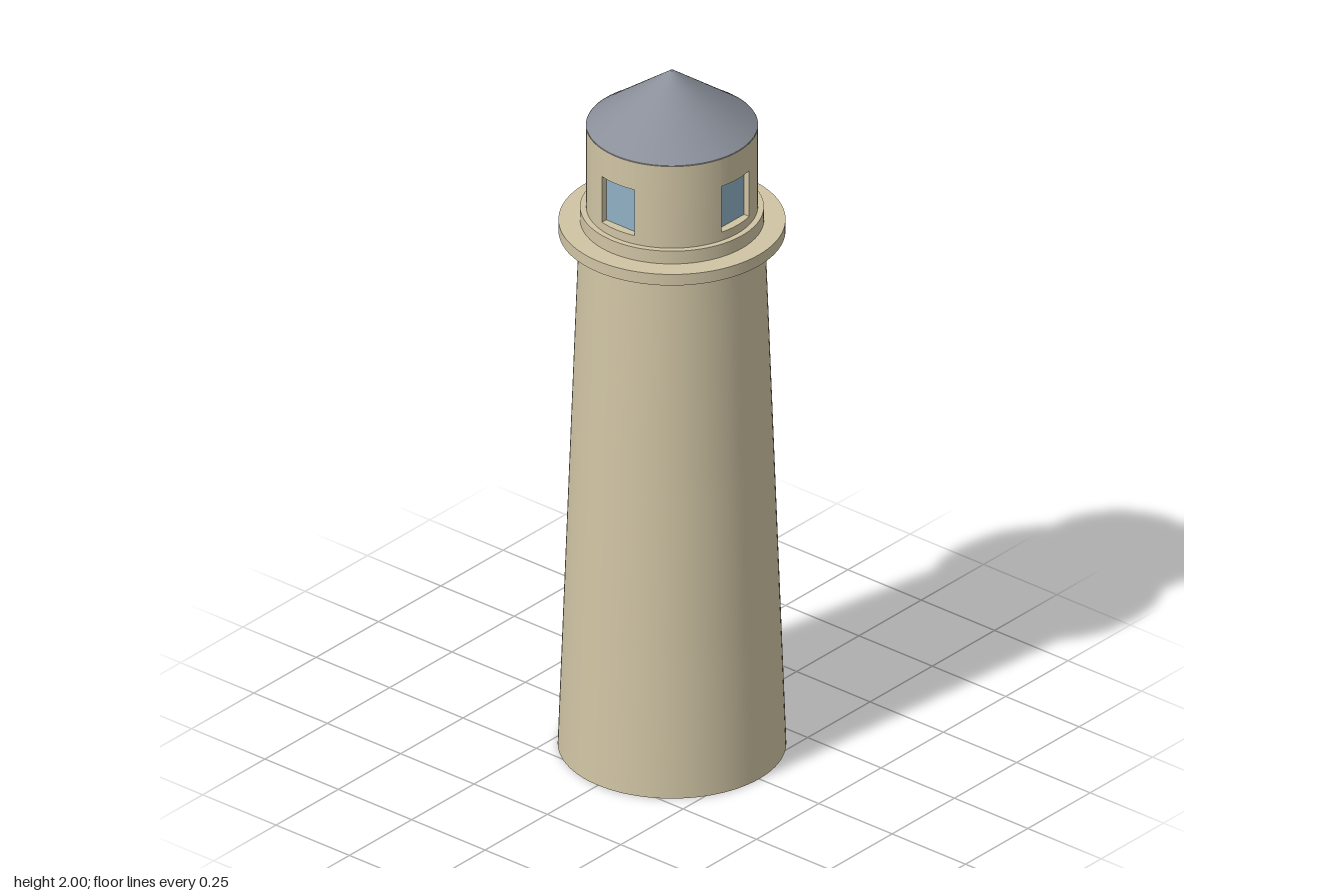
import * as THREE from 'three';
import { mergeVertices } from 'three/addons/utils/BufferGeometryUtils.js';

const stone = new THREE.MeshStandardMaterial({ color: 0xd0c4a4, side: THREE.DoubleSide });
const slate = new THREE.MeshStandardMaterial({ color: 0x8a8f9a });
const glass = new THREE.MeshStandardMaterial({ color: 0x8fb0c4, side: THREE.DoubleSide });
const wood = new THREE.MeshStandardMaterial({ color: 0x5e3d2b, side: THREE.DoubleSide });
const SEGMENTS = 96;

function add(parent, name, geometry, material, y = 0) {
  const mesh = new THREE.Mesh(geometry, material);
  mesh.name = name;
  mesh.position.y = y;
  parent.add(mesh);
  return mesh;
}

function geometryFrom(points) {
  const g = new THREE.BufferGeometry();
  g.setAttribute('position', new THREE.Float32BufferAttribute(points.flat(), 3));
  return g;
}

const sorted = (list) => list.sort((a, b) => a - b).filter((v, i, a) => i === 0 || v - a[i - 1] > 1e-5);

// Round tapered wall with rectangular recesses.
// An opening is { angle, halfWidth, y0, y1, depth }, depth being the distance of its back from the axis.
function roundWall(parent, name, radiusAt, bottom, top, openings) {
  const angles = [], levels = [bottom, top];
  for (let i = 0; i <= SEGMENTS; i++) angles.push((i / SEGMENTS - 0.125) * Math.PI * 2);
  for (const o of openings) {
    o.half = Math.asin(o.halfWidth / radiusAt((o.y0 + o.y1) / 2));
    angles.push(o.angle - o.half, o.angle + o.half);
    levels.push(o.y0, o.y1);
  }
  sorted(angles);
  const ts = sorted(angles), ys = sorted(levels);
  const outer = (t, y) => [radiusAt(y) * Math.sin(t), y, radiusAt(y) * Math.cos(t)];
  const skin = [], reveal = [];
  const quad = (list, a, b, c, d) => list.push(a, b, c, a, c, d);

  for (let i = 0; i < ts.length - 1; i++) {
    for (let j = 0; j < ys.length - 1; j++) {
      const [t0, t1, y0, y1] = [ts[i], ts[i + 1], ys[j], ys[j + 1]];
      const tm = (t0 + t1) / 2, ym = (y0 + y1) / 2;
      const o = openings.find((p) => Math.abs(tm - p.angle) < p.half && ym > p.y0 && ym < p.y1);
      if (!o) {
        quad(skin, outer(t0, y0), outer(t1, y0), outer(t1, y1), outer(t0, y1));
        continue;
      }
      // flat back of the recess, then its sill, lintel and jambs
      const inner = (t, y) => {
        const u = radiusAt(y) * Math.sin(t - o.angle), s = Math.sin(o.angle), c = Math.cos(o.angle);
        return [u * c + o.depth * s, y, o.depth * c - u * s];
      };
      quad(reveal, inner(t0, y0), inner(t1, y0), inner(t1, y1), inner(t0, y1));
      const near = (a, b) => Math.abs(a - b) < 1e-4;
      if (near(y0, o.y0)) quad(reveal, outer(t0, y0), outer(t1, y0), inner(t1, y0), inner(t0, y0));
      if (near(y1, o.y1)) quad(reveal, inner(t0, y1), inner(t1, y1), outer(t1, y1), outer(t0, y1));
      if (near(t0, o.angle - o.half)) quad(reveal, outer(t0, y0), inner(t0, y0), inner(t0, y1), outer(t0, y1));
      if (near(t1, o.angle + o.half)) quad(reveal, inner(t1, y0), outer(t1, y0), outer(t1, y1), inner(t1, y1));
    }
  }
  const wall = mergeVertices(geometryFrom(skin), 1e-5);
  wall.computeVertexNormals();
  add(parent, name, wall, stone);
  const recess = geometryFrom(reveal);
  recess.computeVertexNormals();
  add(parent, name + 'Recesses', recess, stone);
}

// Flat panel facing outward at a given distance from the axis
function panel(parent, name, o, distance, material) {
  const mesh = add(parent, name, new THREE.PlaneGeometry(o.halfWidth * 2, o.y1 - o.y0), material);
  mesh.position.set(Math.sin(o.angle) * distance, (o.y0 + o.y1) / 2, Math.cos(o.angle) * distance);
  mesh.rotation.y = o.angle;
}

function disc(parent, name, radius, y, up) {
  const mesh = add(parent, name, new THREE.CircleGeometry(radius, SEGMENTS), stone, y);
  mesh.rotation.x = up ? -Math.PI / 2 : Math.PI / 2;
}

export function createModel() {
  const model = new THREE.Group();
  model.name = 'lighthouse';

  // Tapered tower with a door and three windows up the back
  const tower = new THREE.Group();
  tower.name = 'tower';
  model.add(tower);
  const back = { angle: Math.PI, halfWidth: 0.034, depth: 0.2 };
  const door = { ...back, y0: 0.01, y1: 0.16 };
  const windows = [0.398, 0.907, 1.416].map((y) => ({ ...back, y0: y - 0.043, y1: y + 0.043 }));
  roundWall(tower, 'towerWall', (y) => 0.297 - 0.0362 * y, 0, 1.525, [door, ...windows]);
  disc(tower, 'towerBase', 0.297, 0, false);
  panel(tower, 'door', door, 0.285, wood);
  windows.forEach((w) => panel(tower, 'towerWindow', w, 0.285, glass));

  // Gallery and the kerb above it
  add(model, 'gallery', new THREE.CylinderGeometry(0.295, 0.295, 0.033, SEGMENTS), stone, 1.5405);
  add(model, 'galleryKerb', new THREE.CylinderGeometry(0.239, 0.239, 0.038, SEGMENTS), stone, 1.576);

  // Lantern room with four recessed windows
  const lantern = new THREE.Group();
  lantern.name = 'lanternRoom';
  model.add(lantern);
  const panes = [0, 1, 2, 3].map((i) => ({
    angle: i * Math.PI / 2, halfWidth: 0.055, y0: 1.62, y1: 1.756, depth: 0.197,
  }));
  roundWall(lantern, 'lanternWall', () => 0.223, 1.595, 1.84, panes);
  panes.forEach((p) => panel(lantern, 'lanternWindow', p, 0.199, glass));

  // Conical roof
  add(model, 'roof', new THREE.CylinderGeometry(0.004, 0.224, 0.162, SEGMENTS), slate, 1.919);
  return model;
}
